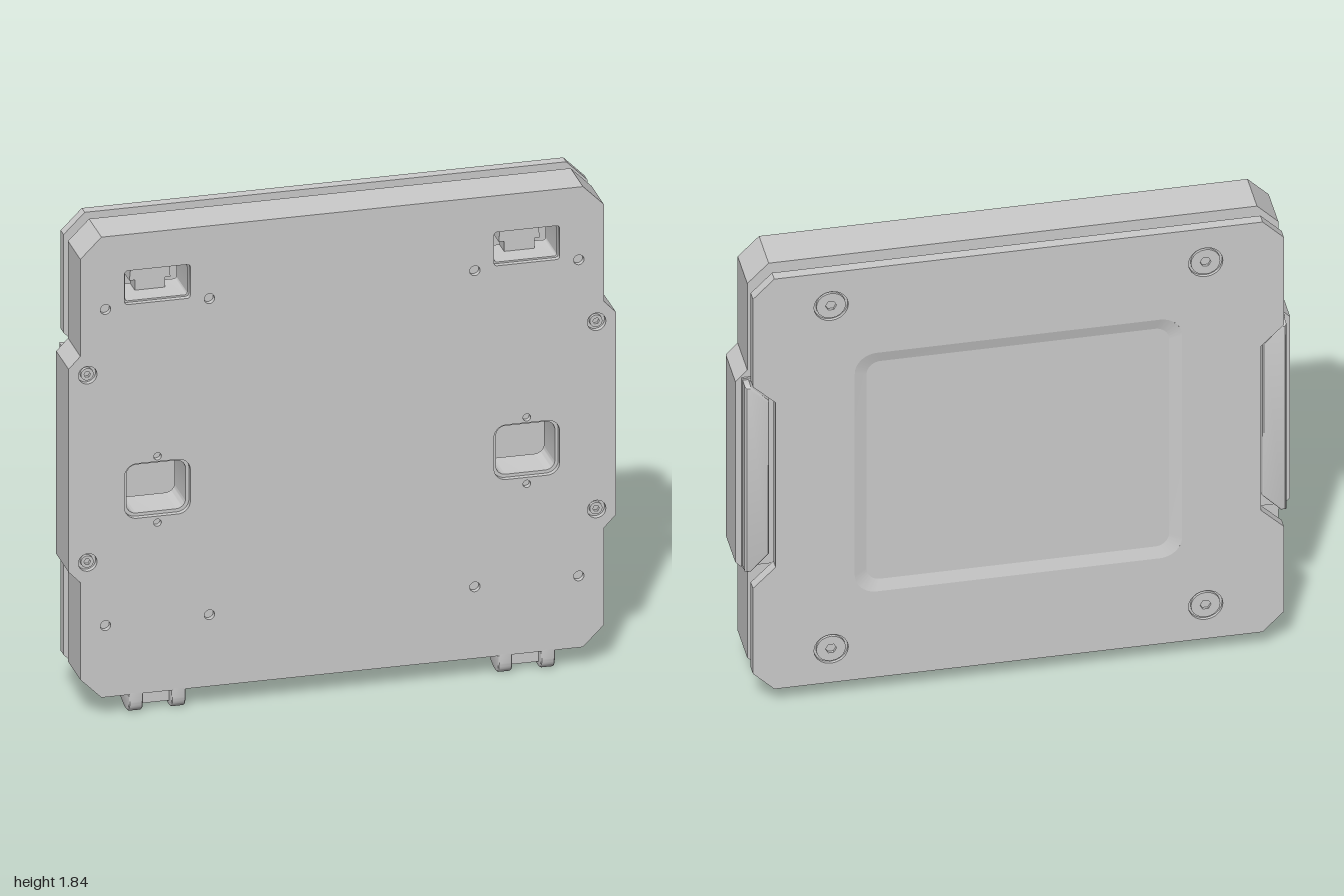
import * as THREE from 'three';
import { toCreasedNormals } from 'three/addons/utils/BufferGeometryUtils.js';

const grey = new THREE.MeshStandardMaterial({ color: 0xcccccc });
const SIDES = [-1, 1];

function add(parent, name, geometry) {
  const mesh = new THREE.Mesh(toCreasedNormals(geometry, 0.5), grey);
  mesh.name = name;
  parent.add(mesh);
  return mesh;
}

// closed outline, mirrored in x from the points of its +x half (bottom to top)
function mirroredShape(half) {
  const other = half.map(([x, y]) => [-x, y]).reverse();
  return new THREE.Shape([...half, ...other].map(([x, y]) => new THREE.Vector2(x, y)));
}

function roundedRect(cx, cy, w, h, r) {
  const s = new THREE.Shape();
  const x = w / 2 - r, y = h / 2 - r;
  s.absarc(cx + x, cy + y, r, 0, Math.PI / 2);
  s.absarc(cx - x, cy + y, r, Math.PI / 2, Math.PI);
  s.absarc(cx - x, cy - y, r, Math.PI, Math.PI * 1.5);
  s.absarc(cx + x, cy - y, r, Math.PI * 1.5, Math.PI * 2);
  s.closePath();
  return s;
}

function circle(x, y, r) {
  return new THREE.Shape().absarc(x, y, r, 0, Math.PI * 2);
}

function hexagon(x, y, r) {
  return new THREE.Shape([0, 1, 2, 3, 4, 5].map((i) =>
    new THREE.Vector2(x + r * Math.cos(i * Math.PI / 3), y + r * Math.sin(i * Math.PI / 3))));
}

// plate of the given outline between two depths, with optional bevel
function slab(shape, z0, z1, holes = [], bevel = 0) {
  shape.holes = holes;
  const g = new THREE.ExtrudeGeometry(shape, {
    depth: z1 - z0 - 2 * bevel, curveSegments: 10, bevelEnabled: bevel > 0,
    bevelSize: bevel, bevelThickness: bevel, bevelOffset: -bevel, bevelSegments: 3,
  });
  return g.translate(0, 0, z0 + bevel);
}

// sloped wall from one outline to another with the same point count
function slopedWall(a, za, b, zb) {
  const pa = a.getPoints(8), pb = b.getPoints(8), pos = [];
  for (let i = 0; i < pa.length - 1; i++) {
    const A = [pa[i].x, pa[i].y, za], B = [pa[i + 1].x, pa[i + 1].y, za];
    const C = [pb[i + 1].x, pb[i + 1].y, zb], D = [pb[i].x, pb[i].y, zb];
    pos.push(...A, ...B, ...C, ...A, ...C, ...D);
  }
  const g = new THREE.BufferGeometry();
  g.setAttribute('position', new THREE.Float32BufferAttribute(pos, 3));
  g.computeVertexNormals();
  return g;
}

function createHousing() {
  const group = new THREE.Group();
  group.name = 'housing';
  const outline = () => mirroredShape([
    [0.88, 0.075], [0.957, 0.152], [0.957, 0.525], [1, 0.57], [1, 1.35],
    [0.957, 1.395], [0.957, 1.768], [0.88, 1.845]]);
  const faceHoles = [], bodyHoles = [];
  for (const s of SIDES) {
    // windows with a narrow rim
    faceHoles.push(roundedRect(s * 0.675, 1.64, 0.24, 0.13, 0.012));
    faceHoles.push(roundedRect(s * 0.675, 0.855, 0.24, 0.21, 0.045));
    bodyHoles.push(roundedRect(s * 0.675, 1.64, 0.228, 0.118, 0.01));
    bodyHoles.push(roundedRect(s * 0.675, 0.855, 0.216, 0.186, 0.035));
    // small blind holes
    for (const x of [0.485, 0.865]) for (const y of [0.35, 1.565]) faceHoles.push(circle(s * x, y, 0.019));
    for (const y of [0.725, 0.98]) faceHoles.push(circle(s * 0.675, y, 0.014));
    // counterbored screws
    for (const y of [0.6, 1.32]) {
      faceHoles.push(circle(s * 0.93, y, 0.034));
      add(group, 'frontScrew', slab(circle(s * 0.93, y, 0.023), 0.11, 0.128, [hexagon(s * 0.93, y, 0.012)]));
    }
  }
  add(group, 'housingFace', slab(outline(), 0.115, 0.135, faceHoles));
  add(group, 'housingBody', slab(outline(), -0.035, 0.115, bodyHoles));
  return group;
}

function createBackPlate() {
  const group = new THREE.Group();
  group.name = 'backPlate';
  const outline = () => mirroredShape([
    [0.88, 0.075], [0.957, 0.152], [0.957, 0.52], [0.875, 0.6], [0.875, 1.31],
    [0.957, 1.39], [0.957, 1.768], [0.88, 1.845]]);
  const pocket = () => roundedRect(0, 0.96, 1.18, 1.03, 0.08);
  const holes = [pocket()];
  for (const s of SIDES) for (const y of [0.22, 1.7]) {
    holes.push(circle(s * 0.675, y, 0.062));
    // countersunk screw and the hex post behind it
    add(group, 'backScrew', slab(circle(s * 0.675, y, 0.053), -0.133, -0.12, [hexagon(s * 0.675, y, 0.02)]));
    add(group, 'hexPost', slab(hexagon(s * 0.675, y, 0.056), -0.1, -0.03));
  }
  add(group, 'plateInner', slab(outline(), -0.123, -0.095));
  add(group, 'plateOuter', slab(outline(), -0.135, -0.123, holes));
  // sloped rim of the shallow central pocket
  const rim = add(group, 'pocketRim', slopedWall(pocket(), -0.135, roundedRect(0, 0.96, 1.09, 0.94, 0.05), -0.1235));
  rim.material = grey.clone();
  rim.material.side = THREE.DoubleSide;
  return group;
}

// side grip sitting in the notch of the back plate
function createSideRail(s) {
  const group = new THREE.Group();
  group.name = 'sideRail';
  const poly = (pts) => {
    const v = pts.map(([x, y]) => new THREE.Vector2(s * x, y));
    return new THREE.Shape(s < 0 ? v.reverse() : v);
  };
  add(group, 'railBase', slab(poly([[0.81, 0.62], [0.87, 0.555], [0.978, 0.555],
    [0.978, 1.365], [0.87, 1.365], [0.81, 1.3]]), -0.043, -0.034));
  add(group, 'railGrip', slab(poly([[0.888, 0.63], [0.955, 0.56], [0.976, 0.56],
    [0.976, 1.36], [0.955, 1.36], [0.888, 1.29]]), -0.095, -0.036, [], 0.012));
  return group;
}

// stepped catch visible through the upper window
function createCatch(s) {
  const shape = new THREE.Shape([[0.055, 0], [0.055, 0.045], [0.075, 0.045], [0.066, 0.14],
    [-0.066, 0.14], [-0.075, 0.045], [-0.055, 0.045], [-0.055, 0]]
    .map(([x, y]) => new THREE.Vector2(s * 0.675 + x, 1.575 + y)));
  const group = new THREE.Group();
  group.name = 'windowCatch';
  add(group, 'catchBlock', slab(shape, -0.034, 0.03));
  return group;
}

function createFoot(s) {
  const group = new THREE.Group();
  group.name = 'foot';
  // outer cheeks: side profile in (z, y), rounded at the front
  const profile = () => {
    const p = new THREE.Shape();
    p.moveTo(-0.035, 0.08);
    p.lineTo(-0.035, 0.032);
    p.quadraticCurveTo(-0.03, 0.026, 0, 0.02);
    p.lineTo(0.055, 0.003);
    p.quadraticCurveTo(0.085, -0.002, 0.11, 0.003);
    p.quadraticCurveTo(0.132, 0.01, 0.135, 0.045);
    p.lineTo(0.135, 0.08);
    p.closePath();
    return p;
  };
  for (const k of SIDES) {
    const g = slab(profile(), -0.0265, 0.0265, [], 0.008);
    g.rotateY(-Math.PI / 2).translate(s * 0.675 + k * 0.078, 0, 0);
    add(group, 'footCheek', g);
  }
  // recessed web with a vertical hole
  const web = new THREE.Shape([[-0.055, -0.1], [0.055, -0.1], [0.055, 0.03], [-0.055, 0.03]]
    .map(([x, z]) => new THREE.Vector2(s * 0.675 + x, z)));
  const webGeometry = slab(web, 0.022, 0.078, [circle(s * 0.675, -0.03, 0.022)]);
  add(group, 'footWeb', webGeometry.rotateX(-Math.PI / 2));
  return group;
}

export function createModel() {
  const model = new THREE.Group();
  model.name = 'panelModule';
  model.add(createHousing(), createBackPlate());
  for (const s of SIDES) model.add(createSideRail(s), createCatch(s), createFoot(s));
  return model;
}
